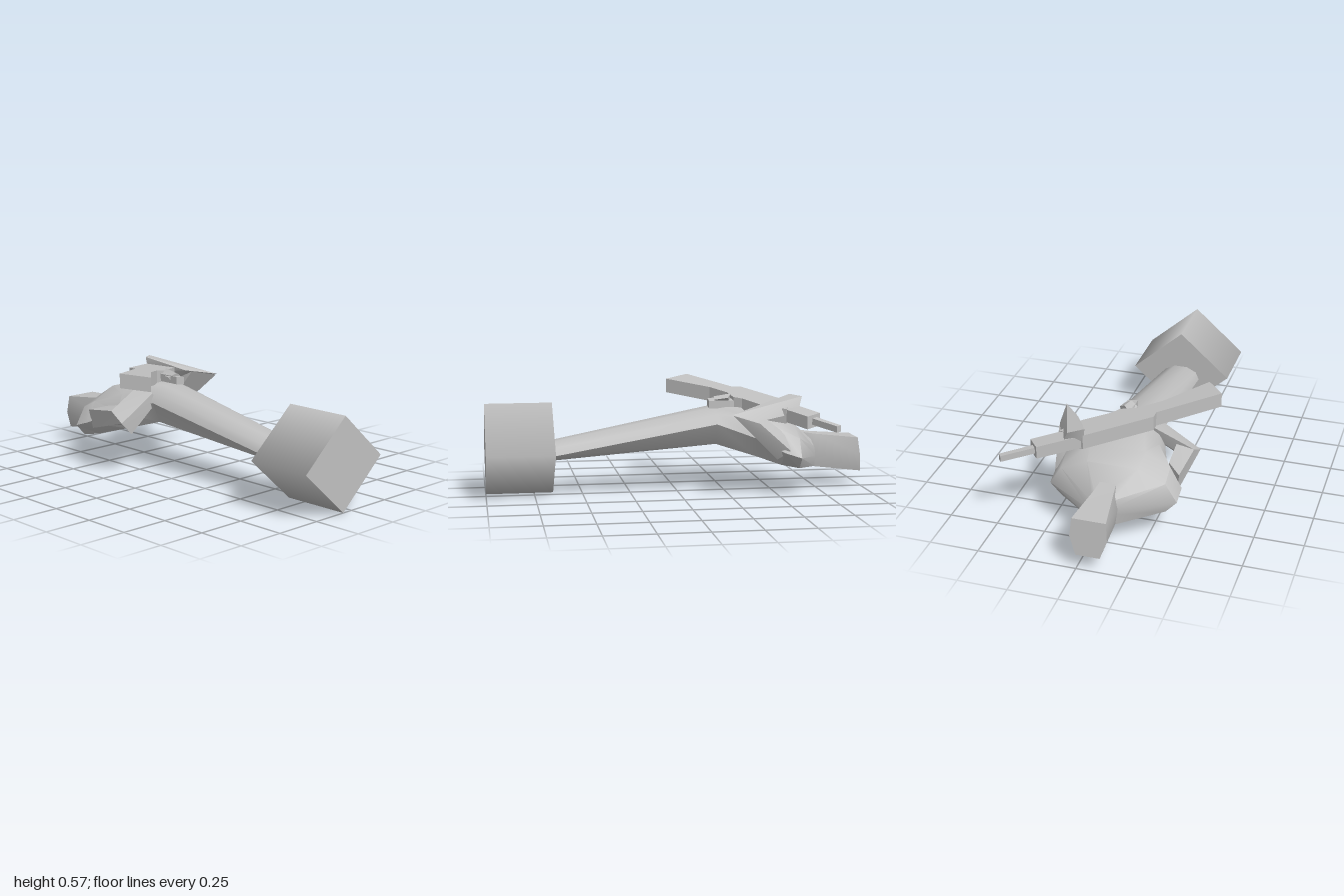
import * as THREE from 'three';
import { toCreasedNormals } from 'three/addons/utils/BufferGeometryUtils.js';

const grey = new THREE.MeshStandardMaterial({ color: 0xc0c0c0 });
grey.name = 'plain grey';

// Skin over a list of rings (equal point counts) with capped ends, faces turned outward
function loft(rings, crease = 0.6) {
  const n = rings[0].length;
  const tris = [];
  const mean = (r) => [0, 1, 2].map((k) => r.reduce((s, p) => s + p[k], 0) / n);
  for (let i = 0; i < rings.length - 1; i++) {
    for (let j = 0; j < n; j++) {
      const k = (j + 1) % n;
      const [a, b, c, d] = [rings[i][j], rings[i][k], rings[i + 1][k], rings[i + 1][j]];
      tris.push([a, b, c], [a, c, d]);
    }
  }
  const last = rings[rings.length - 1];
  for (let j = 0; j < n; j++) {
    const k = (j + 1) % n;
    tris.push([rings[0][k], rings[0][j], mean(rings[0])], [last[j], last[k], mean(last)]);
  }
  let volume = 0;
  for (const [a, b, c] of tris) {
    volume += new THREE.Vector3(...a).dot(new THREE.Vector3(...b).cross(new THREE.Vector3(...c)));
  }
  if (volume < 0) tris.forEach((t) => t.reverse());
  const geo = new THREE.BufferGeometry();
  geo.setAttribute('position', new THREE.Float32BufferAttribute(tris.flat(2), 3));
  return toCreasedNormals(geo, crease);
}

// Eight-sided body section at depth z
function bodyRing([z, w, top, mid, bot, topW, botW]) {
  const up = mid + (top - mid) * 0.62;
  const half = [[topW, top], [w * 0.82, up], [w, mid], [botW, bot]];
  const left = half.map(([x, y]) => [-0.06 + x, y, z]);
  const right = half.map(([x, y]) => [-0.06 - x, y, z]).reverse();
  return [...left, ...right];
}

// Flat plate drawn in plan (x, z), sloping down along the weapon
function gunPlate(points, thickness) {
  const shape = new THREE.Shape(points.map(([x, z]) => new THREE.Vector2(x, -z)));
  const geo = new THREE.ExtrudeGeometry(shape, { depth: thickness, bevelEnabled: false });
  geo.translate(0, 0, -thickness / 2).rotateX(-Math.PI / 2);
  const p = geo.attributes.position;
  for (let i = 0; i < p.count; i++) p.setY(i, p.getY(i) + 0.455 - 0.158 * p.getX(i));
  geo.computeVertexNormals();
  return geo;
}

export function createModel() {
  const model = new THREE.Group();
  model.name = 'recliningFigure';
  const add = (name, geo, parent = model) => {
    const mesh = new THREE.Mesh(geo, grey);
    mesh.name = name;
    parent.add(mesh);
    return mesh;
  };

  // Four-sided plinth at the feet
  const plinth = new THREE.CylinderGeometry(1, 1, 0.35, 4);
  plinth.rotateX(Math.PI / 2).scale(0.27, 0.2375, 1).translate(-0.06, 0.2375, 0.825);
  add('plinth', plinth);

  // Legs and torso: z, half width, top, widest height, bottom, top half width, bottom half width
  const sections = [
    [0.66, 0.105, 0.272, 0.205, 0.178, 0.035, 0.06],
    [-0.2, 0.14, 0.44, 0.36, 0.25, 0.05, 0.09],
    [-0.4, 0.215, 0.44, 0.29, 0.19, 0.1, 0.15],
    [-0.52, 0.325, 0.405, 0.23, 0.155, 0.14, 0.24],
    [-0.61, 0.325, 0.355, 0.2, 0.14, 0.13, 0.27],
    [-0.745, 0.075, 0.24, 0.17, 0.112, 0.04, 0.06],
  ];
  add('body', loft(sections.map(bodyRing), 0.75));

  // Head: wedge chin, face and broad crown
  const headRing = (zTop, zBot, top, bot, wTop, wMid, wBot) => {
    const zMid = (zTop + zBot) / 2;
    const mid = (top + bot) / 2;
    const half = [[wTop, top, zTop], [wMid, mid, zMid], [wBot, bot, zBot]];
    return [
      ...half.map(([x, y, z]) => [-0.06 + x, y, z]),
      ...half.map(([x, y, z]) => [-0.06 - x, y, z]).reverse(),
    ];
  };
  add('head', loft([
    headRing(-0.65, -0.7, 0.3, 0.14, 0.038, 0.045, 0.04),
    headRing(-0.75, -0.74, 0.285, 0.11, 0.05, 0.068, 0.055),
    headRing(-0.975, -1, 0.265, 0.08, 0.085, 0.093, 0.06),
  ]));

  // Left arm reaching over the front of the weapon
  const leftArm = new THREE.Group();
  leftArm.name = 'leftArm';
  model.add(leftArm);
  add('leftUpperArm', loft([
    [[0.22, 0.19, -0.49], [0.18, 0.28, -0.46], [0.2, 0.3, -0.56], [0.26, 0.24, -0.55]],
    [[0.303, 0.435, -0.24], [0.215, 0.45, -0.34], [0.2, 0.41, -0.42], [0.295, 0.39, -0.38]],
  ]), leftArm);
  add('leftForearm', loft([
    [[0.09, 0.515, -0.58], [0.16, 0.51, -0.63], [0.2, 0.43, -0.6], [0.1, 0.43, -0.57]],
    [[0.195, 0.455, -0.37], [0.305, 0.44, -0.235], [0.295, 0.4, -0.37], [0.22, 0.4, -0.41]],
  ]), leftArm);

  // Right arm bent out at the elbow and back in to the grip
  const rightArm = new THREE.Group();
  rightArm.name = 'rightArm';
  model.add(rightArm);
  add('rightUpperArm', loft([
    [[-0.37, 0.3, -0.52], [-0.3, 0.32, -0.45], [-0.28, 0.21, -0.45], [-0.36, 0.2, -0.5]],
    [[-0.39, 0.33, -0.31], [-0.3, 0.35, -0.31], [-0.3, 0.26, -0.22], [-0.4, 0.28, -0.215]],
  ]), rightArm);
  add('rightForearm', loft([
    [[-0.39, 0.33, -0.31], [-0.4, 0.28, -0.215], [-0.33, 0.21, -0.22], [-0.35, 0.27, -0.3]],
    [[-0.17, 0.44, -0.33], [-0.19, 0.41, -0.21], [-0.16, 0.36, -0.21], [-0.15, 0.38, -0.31]],
  ]), rightArm);

  // Rifle laid diagonally across the chest
  const rifle = new THREE.Group();
  rifle.name = 'rifle';
  model.add(rifle);
  add('stockAndReceiver', gunPlate([
    [-0.48, -0.13], [-0.385, 0], [-0.2, -0.21], [-0.09, -0.285], [0, -0.3], [0.03, -0.34],
    [0.16, -0.42], [0.24, -0.53], [0.1, -0.58], [-0.2, -0.38], [-0.2, -0.335],
  ], 0.075), rifle);
  add('foreGuard', gunPlate([[0.09, -0.565], [0.3, -0.69], [0.36, -0.61], [0.15, -0.48]], 0.065), rifle);
  add('barrel', gunPlate([[0.31, -0.665], [0.462, -0.755], [0.48, -0.73], [0.33, -0.635]], 0.032), rifle);
  add('magazine', gunPlate([[-0.06, -0.31], [-0.055, -0.17], [0, -0.17], [0.005, -0.28], [0, -0.32]], 0.04), rifle);

  // Small ridged fist at the grip
  add('rightHand', loft([
    [[-0.05, 0.48, -0.29], [-0.02, 0.51, -0.29], [0.01, 0.49, -0.27], [-0.02, 0.45, -0.28]],
    [[-0.07, 0.475, -0.22], [-0.03, 0.495, -0.2], [0, 0.48, -0.2], [-0.04, 0.44, -0.21]],
  ]), rightArm);

  return model;
}
